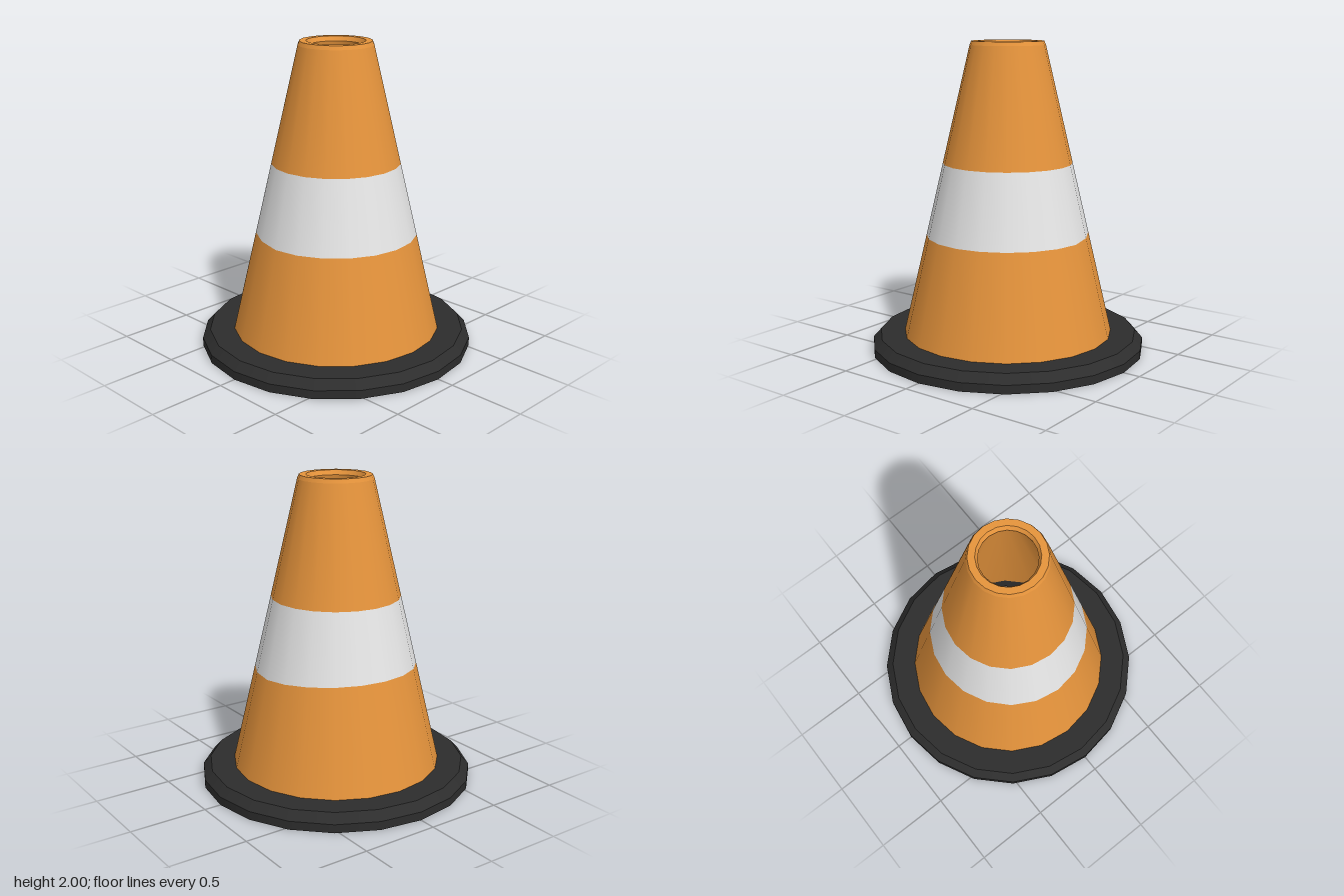
import * as THREE from 'three';

const SIDES = 20;

export function createModel() {
  const model = new THREE.Group();
  model.name = 'trafficCone';

  const makeMaterial = (name, color) => {
    const m = new THREE.MeshStandardMaterial({ color });
    m.name = name;
    return m;
  };
  const orange = makeMaterial('orange plastic', 0xe6943c);
  const white = makeMaterial('white band', 0xe6e6e6);
  const black = makeMaterial('black rubber', 0x2d2d2d);

  // Outer cone radius at a given height
  const coneRadius = (y) => THREE.MathUtils.mapLinear(y, 0.11, 1.975, 0.68, 0.241);

  // One smooth ring of surface; profile runs counterclockwise in (radius, y)
  const ring = (points, material, name, parent) => {
    const geometry = new THREE.LatheGeometry(points.map(([r, y]) => new THREE.Vector2(r, y)), SIDES);
    const mesh = new THREE.Mesh(geometry, material);
    mesh.name = name;
    parent.add(mesh);
    return mesh;
  };
  // Separate rings for each profile segment keep the edges between them sharp
  const creased = (points, material, name) => {
    const group = new THREE.Group();
    group.name = name;
    for (let i = 0; i < points.length - 1; i++) {
      ring([points[i], points[i + 1]], material, name + 'Face' + (i + 1), group);
    }
    model.add(group);
  };

  // Rubber base with a bevelled rim and an open centre
  creased([[0.62, 0.11], [0.62, 0], [0.89, 0], [0.89, 0.055], [0.84, 0.11], [0.62, 0.11]], black, 'base');

  // Cone wall in three colour zones
  const seam = 0.755, bandTop = 1.225;
  const wall = (y0, y1, material, name) =>
    ring([[coneRadius(y0), y0], [coneRadius(y1), y1]], material, name, model);
  const lower = wall(0.11, seam, orange, 'lowerCone');
  const band = wall(seam, bandTop, white, 'reflectiveBand');
  wall(bandTop, 1.975, orange, 'upperCone');

  // The lower band seam climbs slightly towards the back
  for (const mesh of [lower, band]) {
    const p = mesh.geometry.attributes.position;
    for (let i = 0; i < p.count; i++) {
      if (Math.abs(p.getY(i) - seam) > 0.001) continue;
      const y = seam + 0.058 * Math.max(0, -p.getZ(i));
      const scale = coneRadius(y) / coneRadius(seam);
      p.setXYZ(i, p.getX(i) * scale, y, p.getZ(i) * scale);
    }
  }

  // Rounded top lip and the hollow inside
  creased([[0.241, 1.975], [0.23, 2], [0.187, 2], [0.172, 1.97]], orange, 'topLip');
  ring([[0.172, 1.97], [0.62, 0.11]], orange, 'innerWall', model);

  return model;
}
